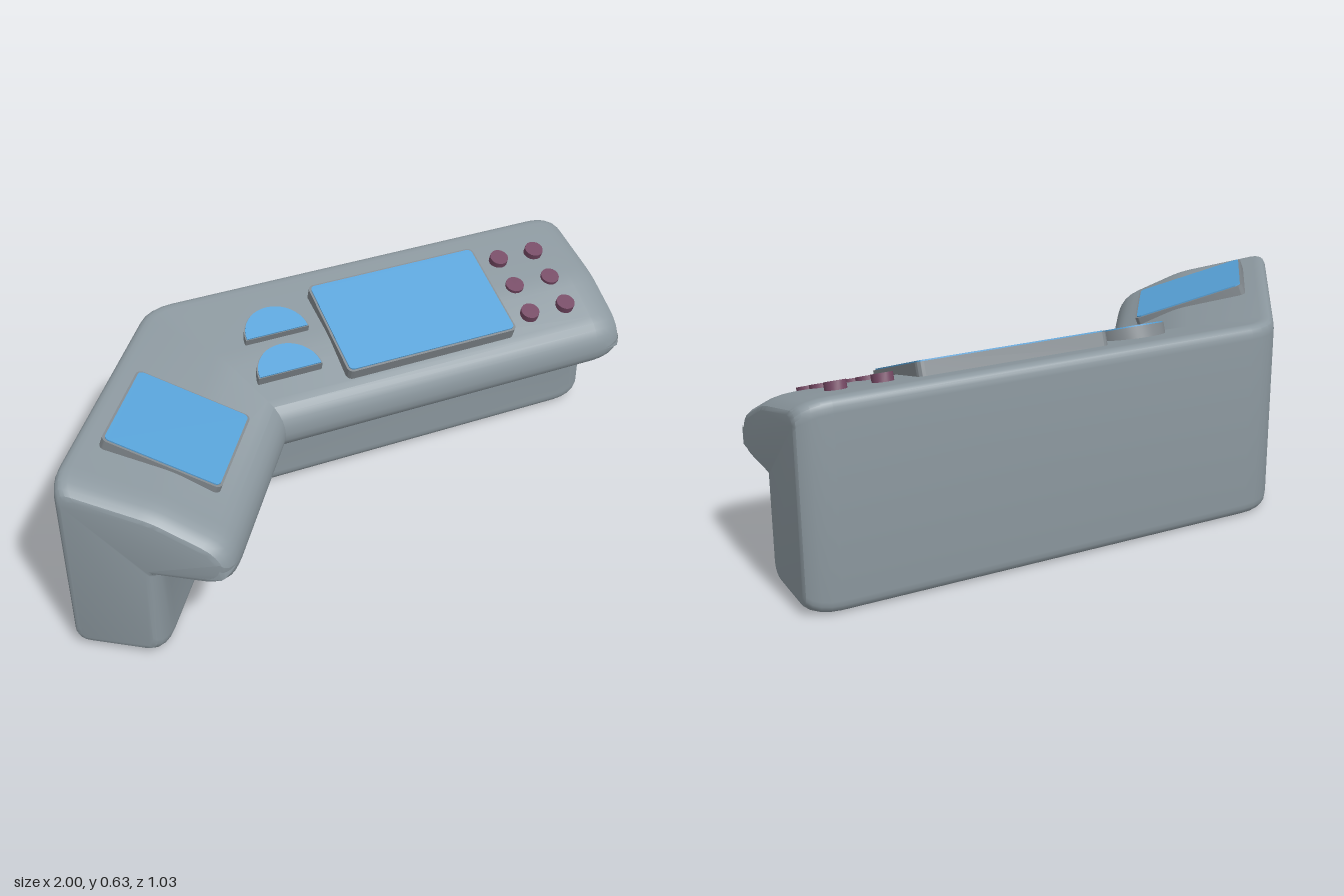
import * as THREE from 'three';
import { toCreasedNormals } from 'three/addons/utils/BufferGeometryUtils.js';

const mat = (name, color) => {
  const m = new THREE.MeshStandardMaterial({ color });
  m.name = name;
  return m;
};

// Console cross-section: [across, height, corner rounding], clockwise from back bottom
const PROFILE = [
  [-0.51, 0, 0.04], [-0.51, 0.617, 0.045], [-0.21, 0.542, 0.04], [0.005, 0.435, 0.07],
  [0.005, 0.305, 0.06], [-0.215, 0.305, 0.012], [-0.215, 0, 0.04],
];
const ANGLE = THREE.MathUtils.degToRad(55);
const BEND = new THREE.Vector2(-0.23, 0); // inner corner of the bend in plan (x, z)
const DIR = new THREE.Vector2(-Math.cos(ANGLE), Math.sin(ANGLE)); // along the wing
const FRONT = new THREE.Vector2(Math.sin(ANGLE), Math.cos(ANGLE)); // front of the wing
const WING = 0.65;
const END = 0.1; // length of the rounding at each end

// Shrinks the profile by e, then rounds its corners
function section(e) {
  const n = PROFILE.length;
  const pts = PROFILE.map(([v, y]) => new THREE.Vector2(v, y));
  const normal = (a, b) => {
    const d = b.clone().sub(a).normalize();
    return new THREE.Vector2(d.y, -d.x);
  };
  const inset = pts.map((p, i) => {
    const n1 = normal(pts[(i + n - 1) % n], p);
    const n2 = normal(p, pts[(i + 1) % n]);
    return p.clone().addScaledVector(n1.clone().add(n2), e / (1 + n1.dot(n2)));
  });
  const out = [];
  inset.forEach((p, i) => {
    const towards = (q) => p.clone().addScaledVector(q.clone().sub(p).normalize(), PROFILE[i][2]);
    const a = towards(inset[(i + n - 1) % n]);
    const b = towards(inset[(i + 1) % n]);
    out.push(...new THREE.QuadraticBezierCurve(a, p, b).getPoints(5));
  });
  return out;
}

// Sweeps the section from the straight end, round the bend, to the wing end
function consoleGeometry() {
  const rings = [];
  const add = (e, place) => rings.push(section(e).map((p) => {
    const q = place(p.x);
    return [q.x, p.y, q.y];
  }));
  const onWing = (s, v) => BEND.clone().addScaledVector(DIR, s).addScaledVector(FRONT, v);
  const steps = 5;
  const endInset = (t) => 0.035 * (1 - Math.cos(t));
  for (let k = steps; k >= 0; k--) {
    const t = (k / steps) * Math.PI / 2;
    add(endInset(t), (v) => new THREE.Vector2(1 - END + END * Math.sin(t), v));
  }
  for (let k = 0; k <= 4; k++) {
    add(0, (v) => {
      const mitre = new THREE.Vector2(BEND.x + Math.tan(ANGLE / 2) * v, v);
      const c = 0.08 * Math.max(0, (-v - 0.35) / 0.16);
      const a = mitre.clone().add(new THREE.Vector2(c, 0));
      const b = mitre.clone().addScaledVector(DIR, c);
      return new THREE.QuadraticBezierCurve(a, mitre, b).getPoint(k / 4);
    });
  }
  for (let k = 0; k <= steps; k++) {
    const t = (k / steps) * Math.PI / 2;
    add(endInset(t), (v) => onWing(WING - END + END * Math.sin(t), v));
  }
  const m = rings[0].length;
  const index = [];
  for (let i = 0; i < rings.length - 1; i++) {
    for (let j = 0; j < m; j++) {
      const a = i * m + j, b = i * m + (j + 1) % m;
      index.push(a, a + m, b, b, a + m, b + m);
    }
  }
  // End faces
  const cap = section(0.035);
  const last = (rings.length - 1) * m;
  for (const [a, b, c] of THREE.ShapeUtils.triangulateShape(cap, [])) {
    const ccw = cap[b].clone().sub(cap[a]).cross(cap[c].clone().sub(cap[a])) > 0;
    const [p, q] = ccw ? [b, c] : [c, b];
    index.push(a, q, p, last + a, last + p, last + q);
  }
  const g = new THREE.BufferGeometry();
  g.setAttribute('position', new THREE.Float32BufferAttribute(rings.flat(2), 3));
  g.setIndex(index);
  return toCreasedNormals(g, 0.5);
}

function roundedRect(w, d, r) {
  const s = new THREE.Shape();
  const x = w / 2 - r, y = d / 2 - r;
  s.absarc(x, y, r, 0, Math.PI / 2);
  s.absarc(-x, y, r, Math.PI / 2, Math.PI);
  s.absarc(-x, -y, r, Math.PI, Math.PI * 1.5);
  s.absarc(x, -y, r, Math.PI * 1.5, Math.PI * 2);
  return s;
}

function halfDisc(r) {
  const s = new THREE.Shape();
  s.absarc(0, 0, r, 0, Math.PI);
  s.closePath();
  return s;
}

// Flat slab with its top at the given height
function slab(shape, top, depth) {
  const g = new THREE.ExtrudeGeometry(shape, { depth, bevelEnabled: false, curveSegments: 10 });
  g.rotateX(-Math.PI / 2);
  g.translate(0, top - depth, 0);
  return toCreasedNormals(g, 0.6);
}

export function createModel() {
  const model = new THREE.Group();
  model.name = 'controlConsole';
  const grey = mat('bodyGrey', 0x8c989f);
  const frameGrey = mat('frameGrey', 0x82898e);
  const blue = mat('screenBlue', 0x58a2d8);
  const plum = mat('buttonPlum', 0x744863);

  const mesh = (parent, name, geometry, material, x = 0, z = 0) => {
    const o = new THREE.Mesh(geometry, material);
    o.name = name;
    o.position.set(x, 0, z);
    parent.add(o);
    return o;
  };

  mesh(model, 'consoleBody', consoleGeometry(), grey);

  // Sloped instrument planes, one per arm
  const TILT = 0.352, MID = -0.2125;
  const plane = (parent, name, v) => {
    const g = new THREE.Group();
    g.name = name;
    g.position.set(0, 0.565, v);
    g.rotation.x = TILT;
    parent.add(g);
    return g;
  };
  const local = (v) => (v - MID) / Math.cos(TILT);

  const screen = (parent, name, w, d, x) => {
    mesh(parent, name + 'Frame', slab(roundedRect(w, d, 0.02), 0, 0.045), frameGrey, x);
    mesh(parent, name, slab(roundedRect(w - 0.014, d - 0.014, 0.016), 0.004, 0.006), blue, x);
  };

  const main = plane(model, 'mainInstruments', MID);
  screen(main, 'mainScreen', 0.6, 0.36, 0.31);

  // Half-round dials
  [[-0.15, -0.24], [-0.163, -0.1]].forEach(([x, v]) => {
    mesh(main, 'dialBase', slab(halfDisc(0.107), 0, 0.045), frameGrey, x, local(v));
    mesh(main, 'dialFace', slab(halfDisc(0.103), 0.004, 0.006), blue, x, local(v) - 0.002);
  });

  // Push buttons
  const button = toCreasedNormals(new THREE.CylinderGeometry(0.031, 0.031, 0.045, 16), 0.6);
  for (const x of [0.695, 0.83]) {
    for (const v of [-0.33, -0.215, -0.105]) {
      mesh(main, 'button', button, plum, x, local(v)).position.y = -0.035;
    }
  }

  // Wing screen
  const wing = new THREE.Group();
  wing.name = 'wing';
  wing.position.set(BEND.x, 0, BEND.y);
  wing.rotation.y = ANGLE;
  model.add(wing);
  screen(plane(wing, 'wingInstruments', -0.247), 'wingScreen', 0.345, 0.365, -0.275);

  return model;
}
